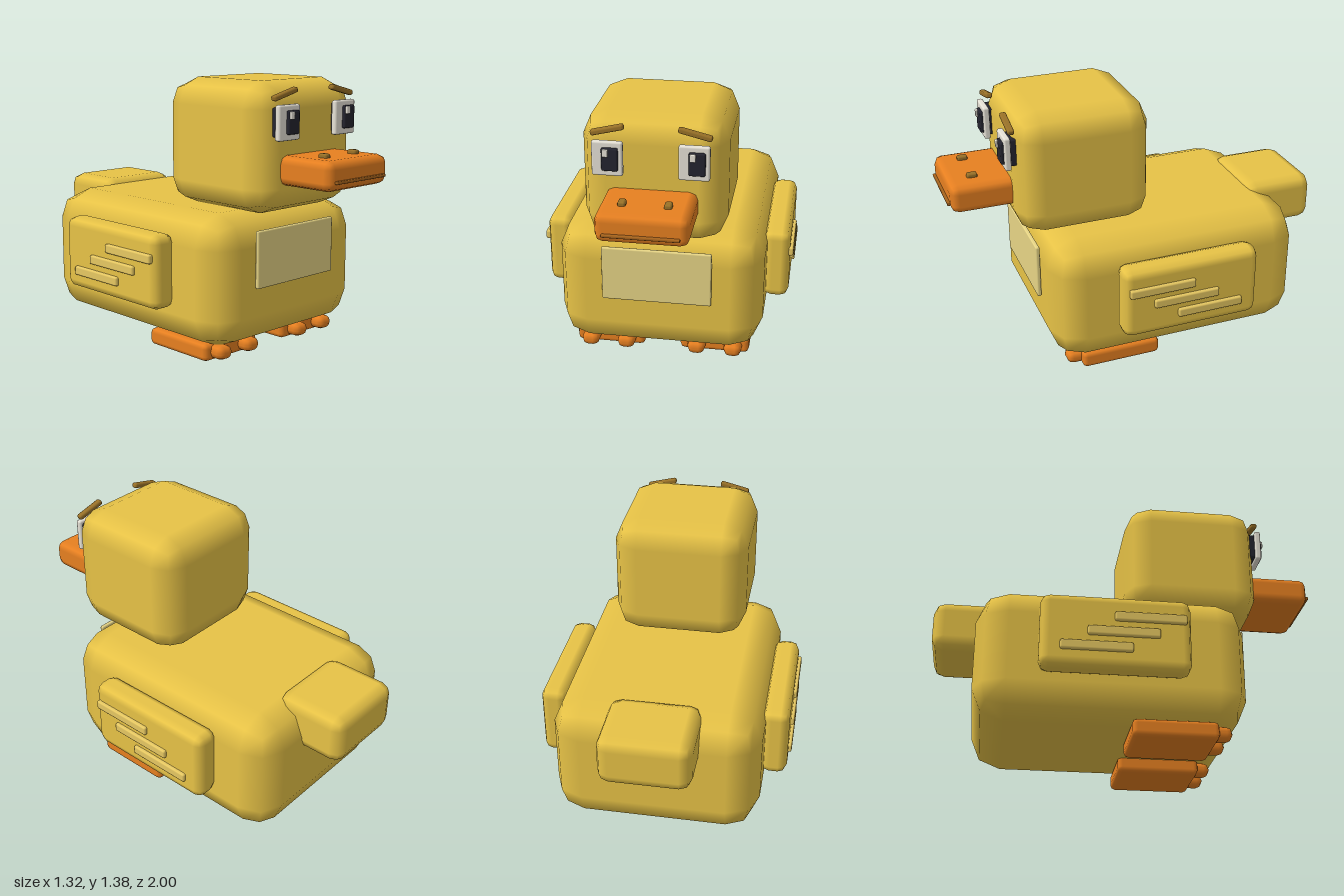
import * as THREE from 'three';
import { RoundedBoxGeometry } from 'three/addons/geometries/RoundedBoxGeometry.js';

function material(name, color) {
  const m = new THREE.MeshStandardMaterial({ color });
  m.name = name;
  return m;
}

export function createModel() {
  const duck = new THREE.Group();
  duck.name = 'duck';

  const yellow = material('yellow', 0xf2cc4a);
  const cream = material('cream', 0xf2df8c);
  const pale = material('paleYellow', 0xf0d066);
  const orange = material('orange', 0xf08522);
  const darkOrange = material('darkOrange', 0xa8641c);
  const brown = material('brown', 0x9a7228);
  const white = material('white', 0xf5f0e4);
  const black = material('black', 0x24242f);

  // Bevelled box given by its [min, max] extent on each axis
  function block(name, mat, [x0, x1], [y0, y1], [z0, z1], radius) {
    const geo = new RoundedBoxGeometry(x1 - x0, y1 - y0, z1 - z0, 1, radius);
    const mesh = new THREE.Mesh(geo, mat);
    mesh.name = name;
    mesh.position.set((x0 + x1) / 2, (y0 + y1) / 2, (z0 + z1) / 2);
    duck.add(mesh);
    return mesh;
  }
  const around = (c, size) => [c - size / 2, c + size / 2];

  // Body, head and tail
  block('body', yellow, [-0.525, 0.525], [0.07, 0.742], [-0.78, 0.57], 0.16);
  block('head', yellow, [-0.35, 0.35], [0.742, 1.385], [-0.018, 0.682], 0.13);
  block('tail', yellow, [-0.23, 0.23], [0.51, 0.77], [-1, -0.61], 0.06);
  block('bellyPatch', cream, [-0.276, 0.276], [0.376, 0.665], [0.574, 0.596], 0.008);

  // Beak with mouth line
  block('beak', orange, [-0.218, 0.218], [0.89, 1.035], [0.5, 0.985], 0.04);
  block('mouthLine', darkOrange, [-0.18, 0.18], [0.929, 0.944], [0.96, 1], 0.005);

  for (const s of [1, -1]) {
    const side = s > 0 ? 'left' : 'right';

    // Wing with three staggered feather bars
    block(side + 'Wing', yellow, around(s * 0.575, 0.135), [0.26, 0.64], [-0.475, 0.255], 0.045);
    for (let i = 0; i < 3; i++) {
      block(side + 'Feather', pale, around(s * 0.645, 0.03), around(0.524 - i * 0.08, 0.048),
        around(0.055 - i * 0.13, 0.35), 0.01);
    }

    // Foot and two toes
    block(side + 'Foot', orange, around(s * 0.276, 0.364), [0, 0.09], [-0.01, 0.415], 0.025);
    for (const x of [0.186, 0.376]) {
      block(side + 'Toe', orange, around(s * x, 0.093), [0.012, 0.084], [0.35, 0.487], 0.033);
    }

    // Eye: dark socket, white, pupil and glint (both pupils look the same way)
    const eyeX = s * 0.203;
    block(side + 'EyeSocket', black, around(eyeX, 0.115), [1.125, 1.265], [0.65, 0.709], 0.01);
    block(side + 'EyeWhite', white, around(eyeX, 0.147), [1.11, 1.28], [0.693, 0.725], 0.01);
    block(side + 'Pupil', black, around(eyeX + 0.015, 0.078), [1.14, 1.253], [0.715, 0.741], 0.008);
    block(side + 'EyeGlint', white, around(eyeX - 0.004, 0.028), [1.212, 1.25], [0.735, 0.75], 0.005);

    // Tilted eyebrow and nostril
    const brow = block(side + 'Brow', brown, around(s * 0.205, 0.162), around(1.328, 0.028),
      [0.673, 0.707], 0.01);
    brow.rotation.z = -s * 0.24;
    block(side + 'Nostril', brown, around(s * 0.107, 0.037), [1.025, 1.055], [0.83, 0.882], 0.01);
  }
  return duck;
}
